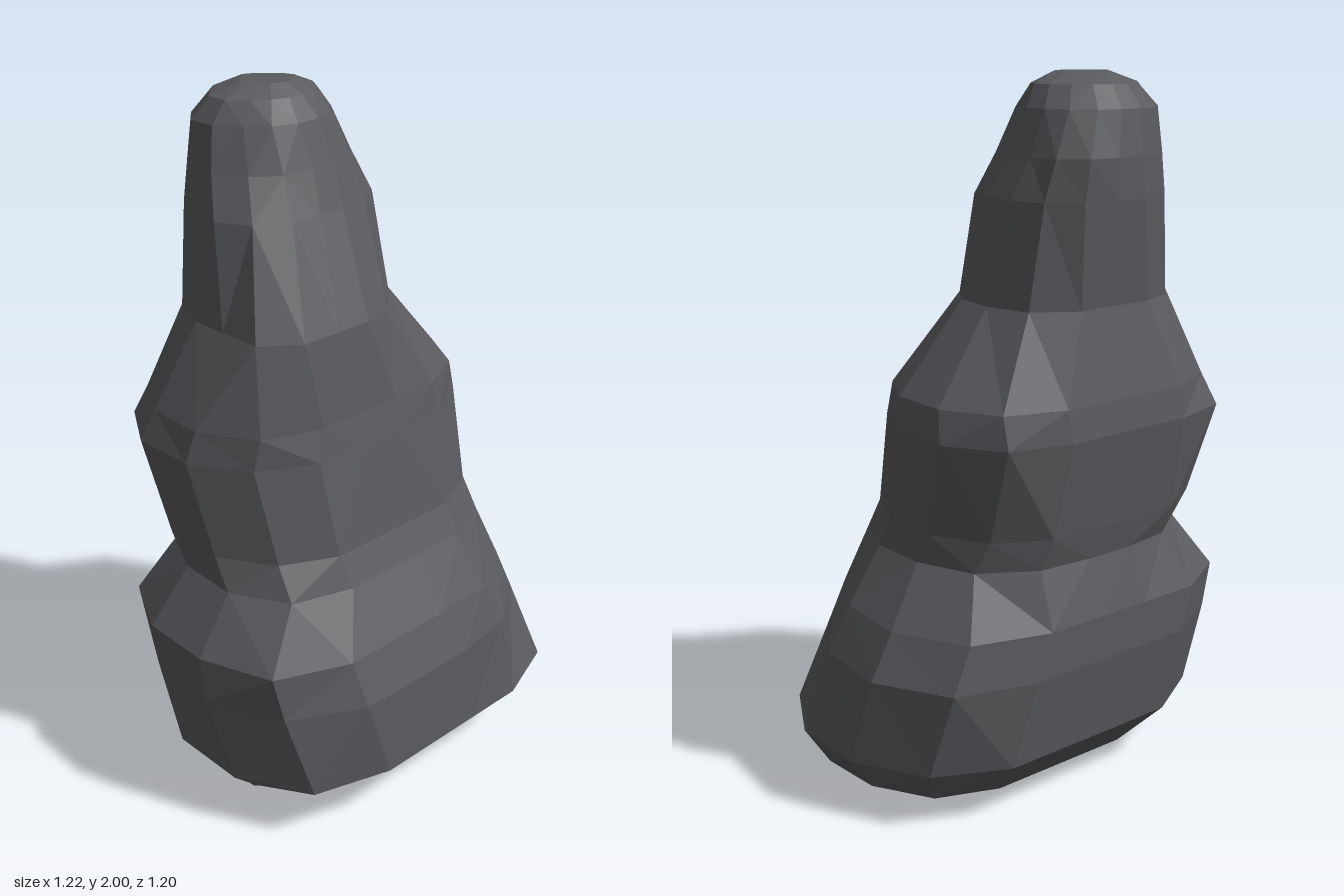
import * as THREE from 'three';

// Horizontal slices of the boulder: height, then min/max extent along
// x, the x+z diagonal, z, and the x-z diagonal.
const SLICES = [
  [0.02, -0.36, 0.28, -0.22, 0.23, -0.32, 0.39, -0.50, 0.42],
  [0.07, -0.43, 0.54, -0.32, 0.33, -0.50, 0.44, -0.56, 0.56],
  [0.17, -0.54, 0.61, -0.40, 0.44, -0.57, 0.60, -0.60, 0.63],
  [0.42, -0.59, 0.51, -0.44, 0.43, -0.60, 0.60, -0.63, 0.60],
  [0.55, -0.61, 0.46, -0.44, 0.38, -0.56, 0.60, -0.63, 0.53],
  [0.71, -0.49, 0.39, -0.40, 0.29, -0.45, 0.47, -0.52, 0.41],
  [0.80, -0.53, 0.35, -0.42, 0.25, -0.46, 0.42, -0.53, 0.41],
  [1.07, -0.61, 0.315, -0.46, 0.20, -0.53, 0.39, -0.56, 0.44],
  [1.16, -0.56, 0.30, -0.45, 0.18, -0.51, 0.385, -0.53, 0.42],
  [1.40, -0.45, 0.12, -0.40, 0.145, -0.38, 0.365, -0.39, 0.22],
  [1.68, -0.44, 0.07, -0.43, 0.02, -0.355, 0.19, -0.35, 0.18],
  [1.79, -0.43, 0.02, -0.43, -0.02, -0.355, 0.12, -0.33, 0.14],
  [1.91, -0.415, -0.04, -0.41, -0.06, -0.30, 0.07, -0.31, 0.10],
  [1.97, -0.36, -0.08, -0.36, -0.10, -0.24, 0.04, -0.27, 0.07],
  [2.00, -0.28, -0.14, -0.30, -0.14, -0.14, -0.02, -0.20, 0.02],
];
const SIDES = 16;
const STEP = (Math.PI * 2) / SIDES;

// Corners of one slice: rays from its middle, stopped by sixteen flat sides.
function sliceRing([y, x0, x1, s0, s1, z0, z1, t0, t1]) {
  const cx = (x0 + x1) / 2, cz = (z0 + z1) / 2;
  const reach = [];
  [x1, s1, z1, -t0, -x0, -s0, -z0, t1].forEach((extent, k) => {
    const a = 2 * k * STEP;
    reach[2 * k] = extent - cx * Math.cos(a) - cz * Math.sin(a);
  });
  // in-between sides round off the corners
  for (let k = 1; k < SIDES; k += 2) {
    reach[k] = 0.505 * (reach[k - 1] + reach[(k + 1) % SIDES]);
  }
  const points = [];
  for (let j = 0; j < SIDES; j++) {
    const a = (j + 0.5) * STEP;
    let r = Infinity;
    reach.forEach((d, k) => {
      const along = Math.cos(a - k * STEP);
      if (along > 0.01) r = Math.min(r, d / along);
    });
    points.push(new THREE.Vector3(cx + r * Math.cos(a), y, cz + r * Math.sin(a)));
  }
  return { points, centre: new THREE.Vector3(cx, y, cz) };
}

function boulderGeometry() {
  const rings = SLICES.map(sliceRing);
  const points = rings.flatMap((ring) => ring.points);
  const bottom = points.length, top = bottom + 1;
  const last = (rings.length - 1) * SIDES;
  points.push(rings[0].centre.setY(0), rings.at(-1).centre);

  const index = [];
  for (let j = 0; j < SIDES; j++) {
    const n = (j + 1) % SIDES;
    for (let i = 0; i < rings.length - 1; i++) {
      const a = i * SIDES + j, b = i * SIDES + n, c = a + SIDES, d = b + SIDES;
      // split each facet along its shorter diagonal
      if (points[b].distanceTo(points[c]) < points[a].distanceTo(points[d])) {
        index.push(a, c, b, b, c, d);
      } else {
        index.push(a, c, d, a, d, b);
      }
    }
    index.push(bottom, j, n, top, last + n, last + j);
  }
  const geometry = new THREE.BufferGeometry().setFromPoints(points);
  geometry.setIndex(index);
  geometry.computeVertexNormals();
  return geometry;
}

export function createModel() {
  const group = new THREE.Group();
  group.name = 'rock';
  const stone = new THREE.MeshStandardMaterial({ color: 0x5a5b5f, flatShading: true });
  const boulder = new THREE.Mesh(boulderGeometry(), stone);
  boulder.name = 'boulder';
  group.add(boulder);
  return group;
}
